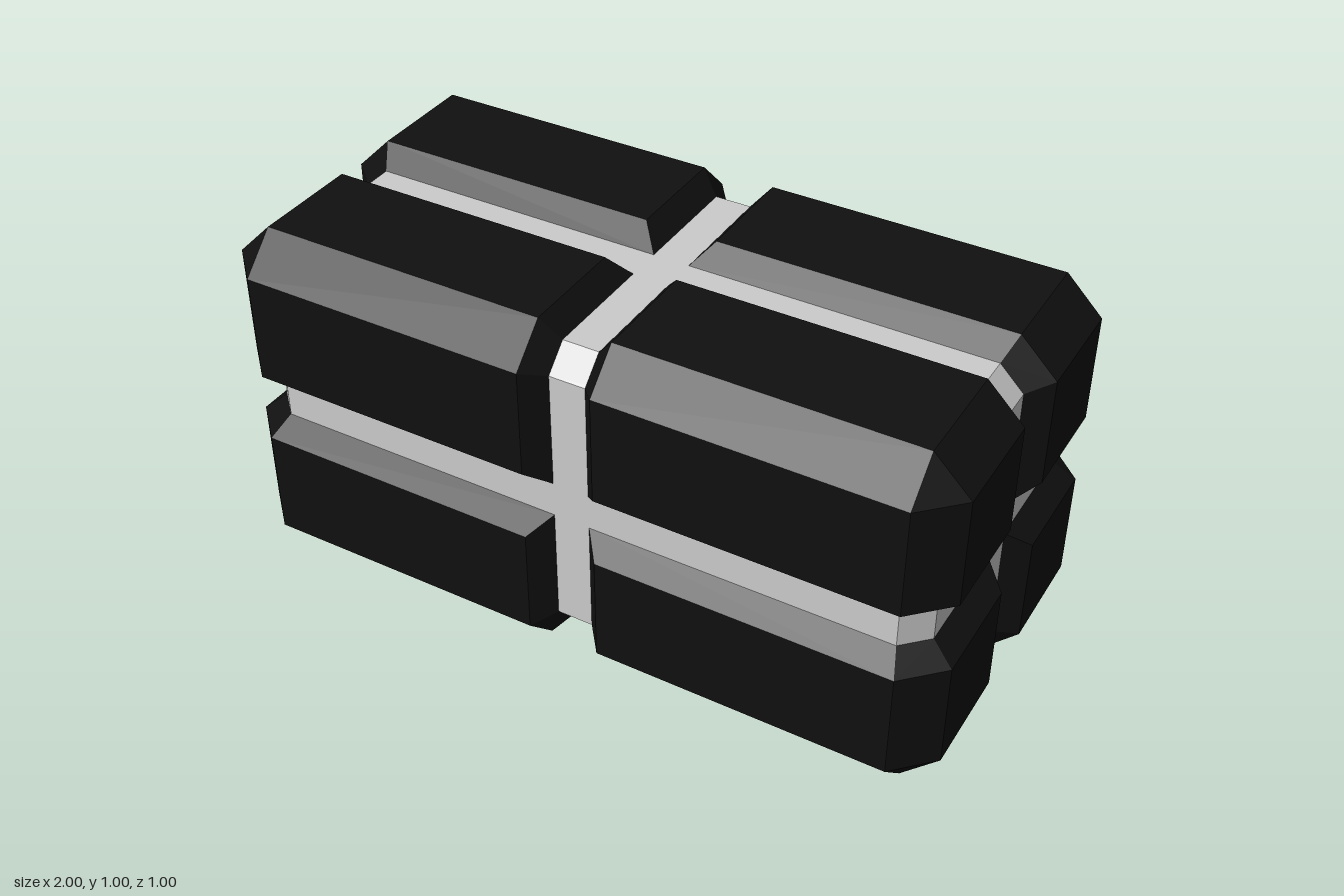
import * as THREE from 'three';
import { ConvexGeometry } from 'three/addons/geometries/ConvexGeometry.js';

const HALF = [1, 0.5, 0.5]; // half extents of the whole model
const INSET = 0.06;         // depth of the grooves

// Corners of one chamfered octant: each face spans from `inner` to `chamfer` short of the edge
function octantPoints(inset, inner, chamfer, sign = [1, 1, 1]) {
  const points = [];
  for (let axis = 0; axis < 3; axis++) {
    for (const i of [0, 1]) for (const j of [0, 1]) {
      const p = [0, 0, 0];
      const b = (axis + 1) % 3, c = (axis + 2) % 3;
      p[axis] = HALF[axis] - inset;
      p[b] = i ? HALF[b] - inset - chamfer : inner;
      p[c] = j ? HALF[c] - inset - chamfer : inner;
      points.push(new THREE.Vector3(p[0] * sign[0], p[1] * sign[1], p[2] * sign[2]));
    }
  }
  return points;
}

export function createModel() {
  const model = new THREE.Group();
  model.name = 'grooved block';
  const grey = new THREE.MeshStandardMaterial({ color: 0xcccccc, flatShading: true });
  const black = new THREE.MeshStandardMaterial({ color: 0x101010, flatShading: true });

  const corePoints = [];
  for (const x of [1, -1]) for (const y of [1, -1]) for (const z of [1, -1]) {
    const sign = [x, y, z];
    corePoints.push(...octantPoints(INSET, 0.05, 0.065, sign));

    // Raised pad: chamfered outer shell sloping down to the core at the grooves
    const pad = new THREE.Mesh(new ConvexGeometry([
      ...octantPoints(0, 0.1, 0.1, sign),
      ...octantPoints(INSET, 0.05, 0.065, sign),
    ]), black);
    pad.name = `${y > 0 ? 'upper' : 'lower'}${z > 0 ? 'Front' : 'Back'}${x > 0 ? 'Left' : 'Right'}Pad`;
    pad.position.y = HALF[1];
    model.add(pad);
  }

  // Chamfered core, seen as bands between the pads
  const core = new THREE.Mesh(new ConvexGeometry(corePoints), grey);
  core.name = 'core';
  core.position.y = HALF[1];
  model.add(core);
  return model;
}
